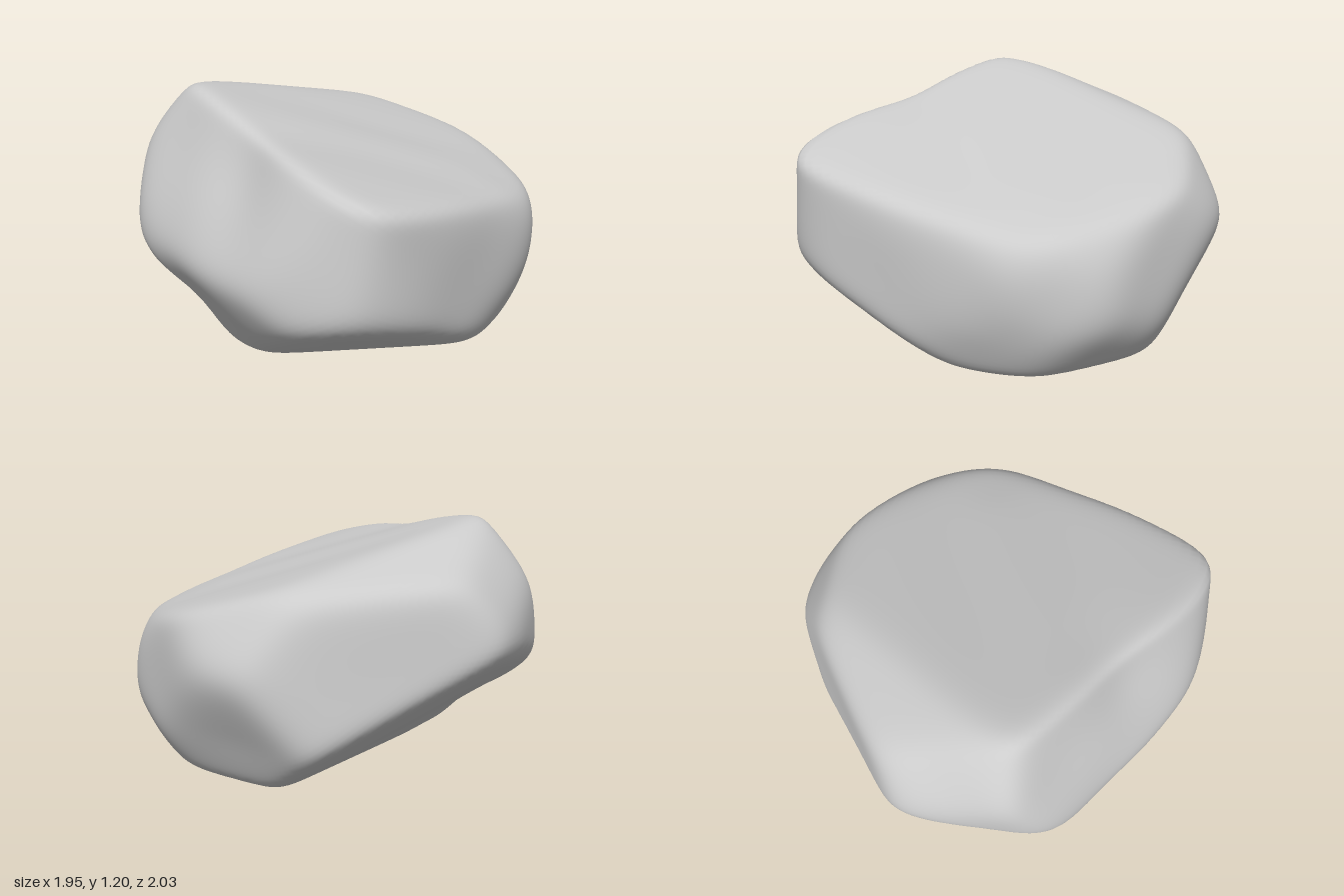
import * as THREE from 'three';
import { mergeVertices } from 'three/addons/utils/BufferGeometryUtils.js';

// Facets of the boulder: outward normal, then a point on the facet
const FACETS = [
  [0, -1, 0, 0, 0, 0],                          // base
  [0.28, 1, -0.11, 0.05, 1.01, 0],              // sloping top
  [-0.25, 1, -0.35, -0.45, 1.04, -0.45],        // top, falling to the back left
  [-0.79, 0.61, 0, -0.85, 0.98, 0.1],           // upper left bevel
  [-0.62, -0.78, -0.06, -0.61, 0.32, 0],        // left undercut
  [-0.97, 0, 0.2, -0.95, 0.7, 0.15],            // left side
  [-0.64, 0, 0.77, -0.8, 0.6, 0.59],            // front left corner
  [-0.69, 0.12, -0.72, -0.58, 0.6, -0.62],      // back left
  [0.46, 0.08, -0.89, 0.38, 0.55, -0.9],        // back right
  [0, 0.55, -0.83, 0, 0.77, -0.94],             // upper back bevel
  [0, -0.42, -0.9, 0.1, 0.25, -0.88],           // back undercut
  [0.9, 0.05, -0.4, 0.93, 0.55, -0.43],         // right back corner
  [0.6, 0.6, -0.5, 0.78, 0.78, -0.5],           // upper right back bevel
  [0.55, -0.6, -0.55, 0.75, 0.15, -0.58],       // lower right back bevel
  [0.97, 0, 0.22, 0.9, 0.5, 0.22],              // right side
  [0.8, 0.6, 0, 0.95, 0.72, -0.2],              // upper right bevel
  [0.9, -0.42, 0, 0.95, 0.25, -0.2],            // lower right bevel
  [-0.36, 0.45, 0.82, -0.15, 0.72, 0.82],       // front slope
  [0.1, 0.1, 1, 0.4, 0.6, 1.0],                 // front nose
  [0.75, -0.05, 0.6, 0.68, 0.65, 0.91],         // front right corner
  [0.3, -0.84, 0.44, 0.7, 0.42, 0.97],          // front right undercut
  [-0.34, -0.5, 0.79, 0, 0.25, 0.87],           // front foot
];

// Shallow hollows: centre, radius, depth
const DENTS = [
  [-0.42, 0.28, 0.5, 0.22, 0.06],
  [-0.1, 0.92, 0.7, 0.26, 0.035],
  [0.86, 0.78, -0.3, 0.18, 0.02],
];

function createBoulder() {
  const centre = new THREE.Vector3(0.05, 0.55, 0);
  const sharpness = 22;
  const facets = FACETS.map(([a, b, c, x, y, z]) => {
    const n = new THREE.Vector3(a, b, c).normalize();
    return n.divideScalar(n.dot(new THREE.Vector3(x, y, z).sub(centre)));
  });

  let geo = new THREE.IcosahedronGeometry(1, 36);
  geo.deleteAttribute('uv');
  geo.deleteAttribute('normal');
  geo = mergeVertices(geo, 1e-4);

  // Push each vertex out to the rounded intersection of the facets
  const pos = geo.attributes.position;
  const d = new THREE.Vector3();
  const p = new THREE.Vector3();
  for (let i = 0; i < pos.count; i++) {
    d.fromBufferAttribute(pos, i).normalize();
    let sum = 0;
    for (const f of facets) sum += Math.max(0, d.dot(f)) ** sharpness;
    const r = sum ** (-1 / sharpness);
    p.copy(d).multiplyScalar(r).add(centre);
    let dent = 0;
    for (const [x, y, z, radius, depth] of DENTS) {
      const q = (p.x - x) ** 2 + (p.y - y) ** 2 + (p.z - z) ** 2;
      dent += depth * Math.exp(-q / (radius * radius));
    }
    // gentle weathering, fading out at the base
    const wave = 0.005 * Math.sin(5 * p.x + 9 * p.z) * Math.sin(7 * p.y + 3 * p.x);
    p.addScaledVector(d, wave * THREE.MathUtils.smoothstep(p.y, 0.05, 0.3) - dent);
    pos.setXYZ(i, p.x, p.y, p.z);
  }
  geo.computeVertexNormals();
  return geo;
}

export function createModel() {
  const group = new THREE.Group();
  group.name = 'rock';
  const boulder = new THREE.Mesh(
    createBoulder(),
    new THREE.MeshStandardMaterial({ color: 0xcccccc })
  );
  boulder.name = 'boulder';
  group.add(boulder);
  return group;
}
